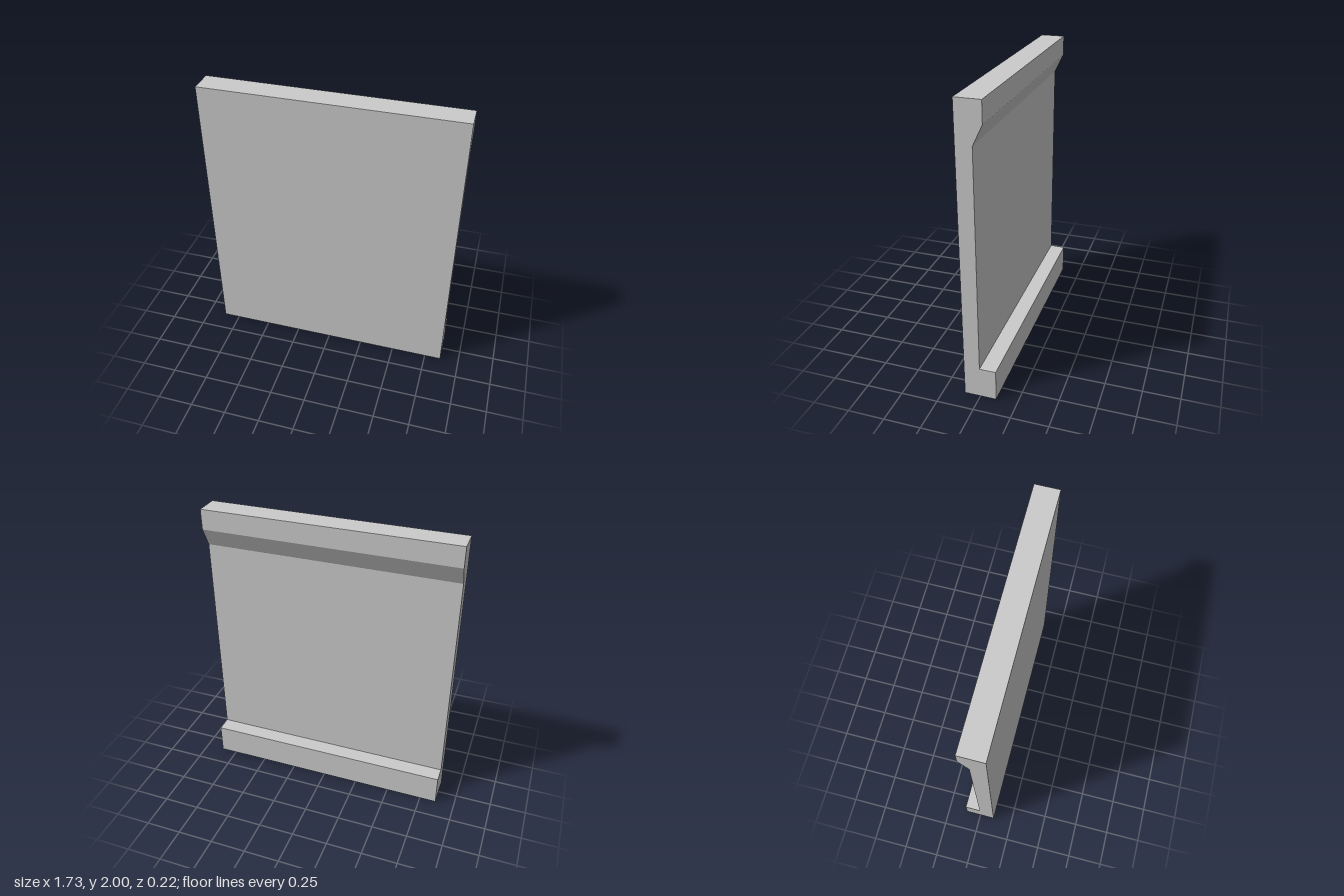
import * as THREE from 'three';

const WIDTH = 1.732;

// Side profile as [z, y], counter-clockwise
const PROFILE = [
  [-0.108, 0], [0.108, 0], [0.108, 2],   // foot underside and flat front face
  [-0.06, 2], [-0.06, 1.86],             // top lip
  [0.002, 1.73], [0.002, 0.216],         // chamfer and recessed back
  [-0.108, 0.216],                       // bottom ledge
];

export function createModel() {
  const group = new THREE.Group();
  group.name = 'panel';

  const shape = new THREE.Shape(PROFILE.map(([z, y]) => new THREE.Vector2(z, y)));
  const geometry = new THREE.ExtrudeGeometry(shape, { depth: WIDTH, bevelEnabled: false });
  // Centre the extrusion, then turn it so that it runs along x
  geometry.translate(0, 0, -WIDTH / 2);
  geometry.rotateY(-Math.PI / 2);

  const material = new THREE.MeshStandardMaterial({ color: 0xcccccc, flatShading: true });
  const panel = new THREE.Mesh(geometry, material);
  panel.name = 'panelWithLipAndLedge';
  group.add(panel);
  return group;
}
